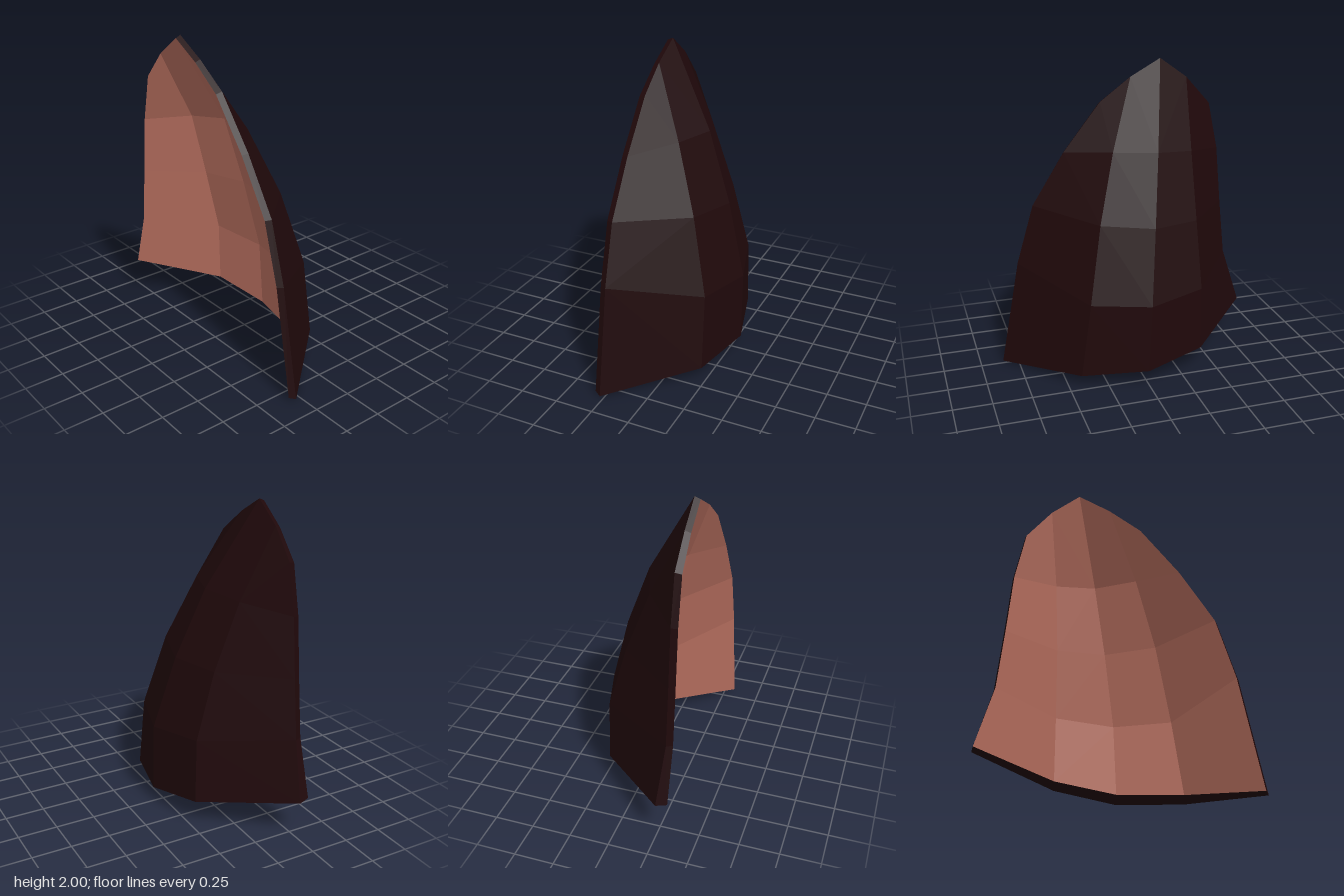
import * as THREE from 'three';

// Outer skin: cross-sections from bottom to top, each running right (-x) to left (+x)
const SECTIONS = [
  [[-0.85, 0.25, 0.25], [-0.39, 0.16, -0.22], [0, 0.10, -0.32], [0.42, 0.08, -0.22], [0.85, 0, 0.28]],
  [[-0.74, 0.62, 0.28], [-0.39, 0.58, -0.21], [-0.02, 0.55, -0.32], [0.35, 0.56, -0.21], [0.72, 0.70, 0.28]],
  [[-0.70, 1.00, 0.28], [-0.39, 1.01, -0.09], [-0.08, 1.02, -0.19], [0.25, 1.04, -0.09], [0.605, 1.09, 0.28]],
  [[-0.665, 1.38, 0.28], [-0.405, 1.43, 0.07], [-0.15, 1.46, -0.02], [0.12, 1.46, 0.07], [0.39, 1.43, 0.28]],
  [[-0.60, 1.69, 0.28], [-0.44, 1.87, 0.285], [-0.26, 2.0, 0.285], [-0.06, 1.89, 0.285], [0.145, 1.74, 0.28]],
];
const N = SECTIONS.length - 1;

// Wall depth at the three inner columns of each section, thickest near the bottom
const DEPTH = [
  [0.135, 0.16, 0.135],
  [0.135, 0.175, 0.135],
  [0.115, 0.135, 0.115],
  [0.05, 0.065, 0.08],
];

// Inner skin: drawn in slightly and moved forward, with its side and top edges in one plane
function inset(p, r, c) {
  const edge = c === 0 || c === N || r === N;
  const lift = r === 0 && !edge ? 0.008 : 0;
  return [
    p[0] * 0.978 - 0.002,
    1 + (p[1] - 1) * 0.985 + lift,
    edge ? 0.32 : p[2] + DEPTH[r][c - 1],
  ];
}

// Mesh from a list of quads, each split on its shorter diagonal and shaded as one facet
function quadMesh(name, quads, material) {
  const positions = [];
  const normals = [];
  for (const quad of quads) {
    const [a, b, c, d] = quad.map((p) => new THREE.Vector3(...p));
    const ac = c.clone().sub(a);
    const bd = d.clone().sub(b);
    const normal = ac.clone().cross(bd).normalize();
    const corners = ac.length() < bd.length() ? [a, b, c, a, c, d] : [a, b, d, b, c, d];
    for (const v of corners) {
      positions.push(...v);
      normals.push(...normal);
    }
  }
  const geometry = new THREE.BufferGeometry();
  geometry.setAttribute('position', new THREE.Float32BufferAttribute(positions, 3));
  geometry.setAttribute('normal', new THREE.Float32BufferAttribute(normals, 3));
  const mesh = new THREE.Mesh(geometry, material);
  mesh.name = name;
  return mesh;
}

function gridQuads(grid, flip) {
  const quads = [];
  for (let r = 0; r < N; r++) {
    for (let c = 0; c < N; c++) {
      const q = [grid[r][c], grid[r][c + 1], grid[r + 1][c + 1], grid[r + 1][c]];
      quads.push(flip ? q.reverse() : q);
    }
  }
  return quads;
}

// Edge of a grid, counter-clockwise as seen from the front
function border(grid) {
  const loop = [];
  for (let i = 0; i < N; i++) loop.push(grid[0][i]);
  for (let i = 0; i < N; i++) loop.push(grid[i][N]);
  for (let i = N; i > 0; i--) loop.push(grid[N][i]);
  for (let i = N; i > 0; i--) loop.push(grid[i][0]);
  return loop;
}

export function createModel() {
  const lining = new THREE.MeshStandardMaterial({ color: 0xb97060 });
  lining.name = 'dusty pink lining';
  const shell = new THREE.MeshStandardMaterial({ color: 0x1f080a });
  shell.name = 'dark brown shell';

  const inner = SECTIONS.map((row, r) => row.map((p, c) => inset(p, r, c)));
  const back = border(SECTIONS);
  const front = border(inner);

  // Rim joining the two skins
  const rim = back.map((p, i) => {
    const j = (i + 1) % back.length;
    return [p, back[j], front[j], front[i]];
  });

  const group = new THREE.Group();
  group.name = 'curvedShell';
  group.add(
    quadMesh('innerLining', gridQuads(inner, false), lining),
    quadMesh('outerShell', gridQuads(SECTIONS, true), shell),
    quadMesh('rim', rim, shell),
  );
  return group;
}
